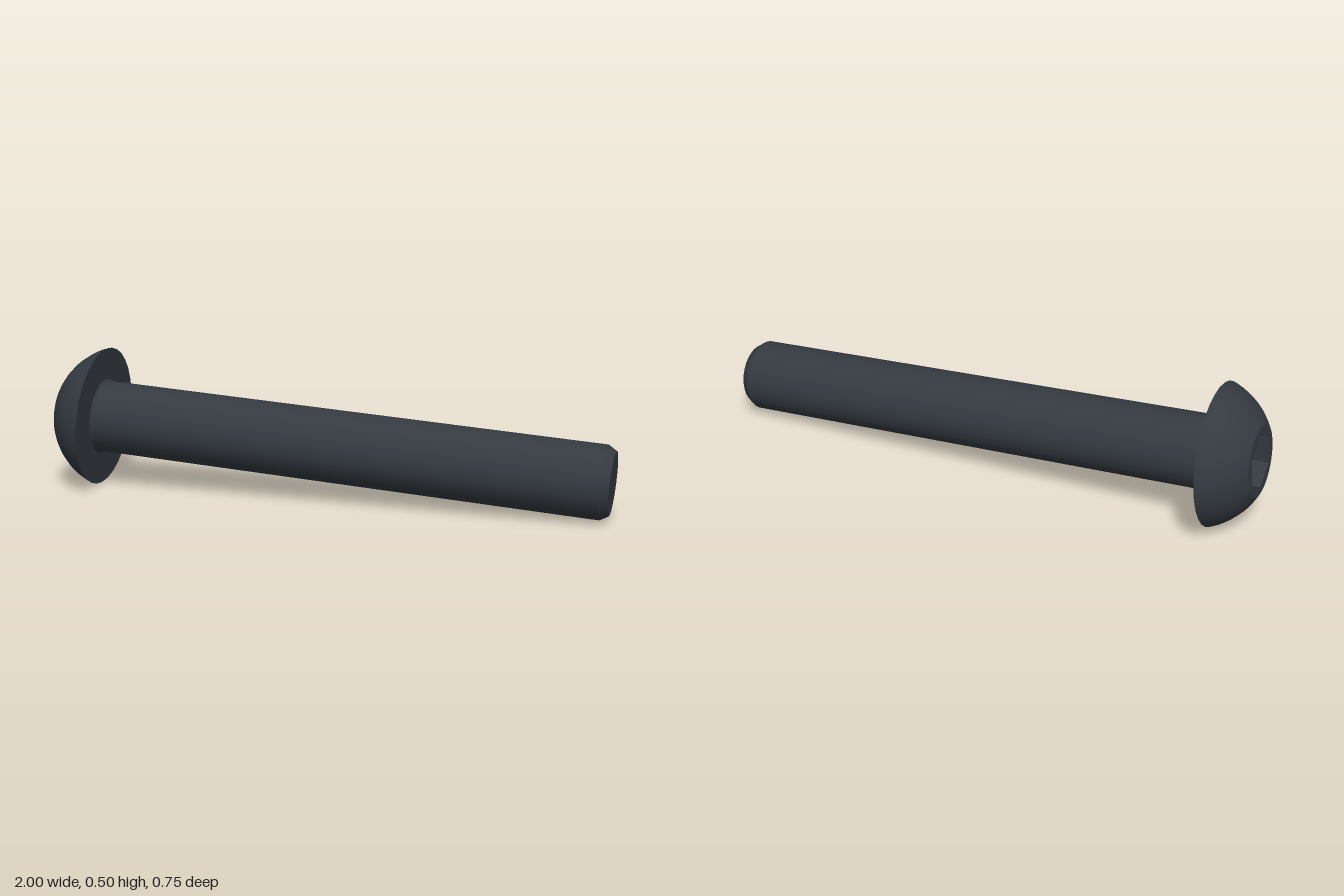
import * as THREE from 'three';

export function createModel() {
  const model = new THREE.Group();
  model.name = 'socketScrew';
  const steel = new THREE.MeshStandardMaterial({ color: 0x343a40 });
  steel.name = 'darkSteel';

  const SIDES = 32;
  const shaftR = 0.129, endR = 0.111, length = 1.853, chamfer = 0.03;
  const headR = 0.25, headH = 0.143, flatR = 0.125;
  const hexR = 0.1, hexDepth = 0.09;

  // The screw is built along local y (head at the bottom), then tilted
  const screw = new THREE.Group();
  screw.name = 'screw';
  const add = (name, geometry) => {
    const mesh = new THREE.Mesh(geometry, steel);
    mesh.name = name;
    screw.add(mesh);
  };
  const lathe = (name, points) =>
    add(name, new THREE.LatheGeometry(points.map(([r, y]) => new THREE.Vector2(r, y)), SIDES));

  // Domed head: an arc of a sphere from the flat top to the rim
  const c = (headR ** 2 - flatR ** 2 - headH ** 2) / (2 * headH);
  const R = Math.hypot(headR, c);
  const a0 = Math.asin(flatR / R), a1 = Math.atan2(headR, c);
  const dome = [];
  for (let i = 0; i <= 10; i++) {
    const a = a0 + (a1 - a0) * i / 10;
    dome.push([R * Math.sin(a), c - R * Math.cos(a)]);
  }
  lathe('headDome', dome);
  lathe('headUnderside', [[headR, 0], [shaftR + 0.008, 0]]);

  // Flat top of the head with the hexagonal opening
  const disc = new THREE.Shape().absarc(0, 0, flatR, 0, Math.PI * 2);
  const hex = new THREE.Path();
  hex.setFromPoints(Array.from({ length: 7 }, (_, i) => new THREE.Vector2(
    hexR * Math.cos(i * Math.PI / 3), hexR * Math.sin(i * Math.PI / 3))));
  disc.holes.push(hex);
  add('headTop', new THREE.ShapeGeometry(disc, SIDES / 2).rotateX(Math.PI / 2).translate(0, -headH, 0));

  // Socket walls, mirrored so that they face inward, and the socket floor
  const walls = new THREE.CylinderGeometry(hexR, hexR, hexDepth, 6, 1, true)
    .rotateY(Math.PI / 2).scale(-1, 1, 1).toNonIndexed();
  walls.computeVertexNormals();
  add('socketWalls', walls.translate(0, hexDepth / 2 - headH, 0));
  add('socketFloor', new THREE.CircleGeometry(hexR, 6).rotateX(Math.PI / 2).translate(0, hexDepth - headH, 0));

  // Shaft with a small root fillet, a chamfer and a flat end
  lathe('rootFillet', [[shaftR + 0.008, 0], [shaftR + 0.002, 0.003], [shaftR, 0.01]]);
  lathe('shaft', [[shaftR, 0.01], [shaftR, length - chamfer]]);
  lathe('endChamfer', [[shaftR, length - chamfer], [endR, length]]);
  lathe('shaftEnd', [[endR, length], [0, length]]);

  // Lay the screw down along its slanted axis
  const axis = new THREE.Vector3(1.808, -0.121, 0.386).normalize();
  const side = new THREE.Vector3(0, 1, 0).addScaledVector(axis, -axis.y).normalize();
  const third = new THREE.Vector3().crossVectors(side, axis);
  screw.quaternion.setFromRotationMatrix(new THREE.Matrix4().makeBasis(side, axis, third));
  screw.position.set(-0.832, 0.251, -0.132);
  model.add(screw);
  return model;
}
